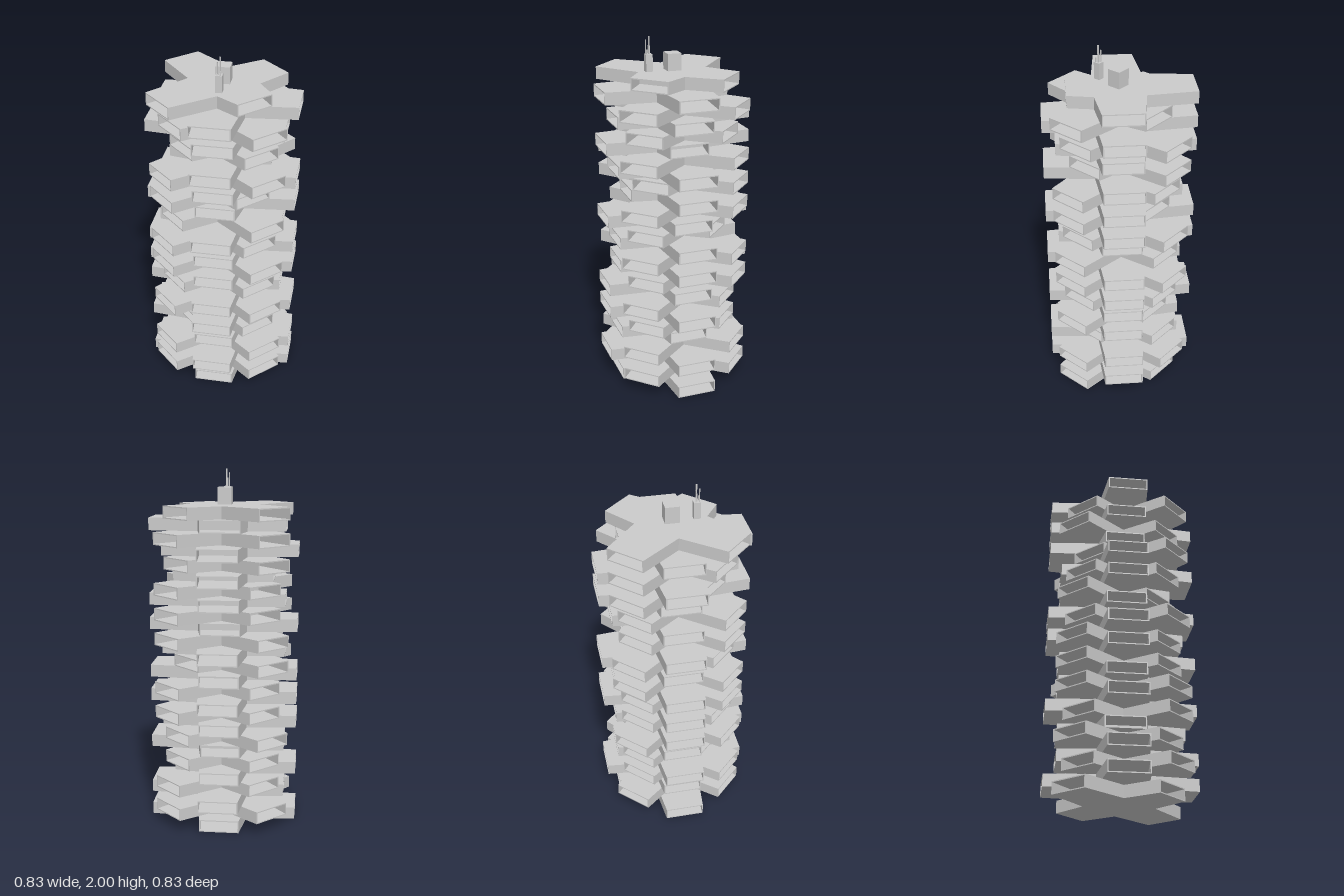
import * as THREE from 'three';

const FLOOR_H = 1.81 / 26;            // storey height
const NOTCH = 0.138;                  // inner corner between wings (along = across)
const END_HALF = 0.111;               // half width of a wing at its open end
const WALL = 0.006;                   // thickness of wing walls and slabs
const LENGTHS = [0.416, 0.348, 0.28]; // long, medium, short wings

// Wing lengths per storey from the ground up; even storeys lie on the axes
// (+x, +z, -x, -z), odd ones are turned by 45 degrees.
const FLOORS = [
  '0101', '0000', '0010', '0010', '2101', '1211', '0012', '0001', '1001',
  '1110', '0100', '0010', '0101', '1002', '1010', '0100', '0202', '2010',
  '0111', '0010', '2020', '1201', '1100', '0100', '0012', '2001',
];

const material = new THREE.MeshStandardMaterial({ color: 0xcccccc, flatShading: true });

function addMesh(parent, name, geometry, x = 0, y = 0, z = 0) {
  const mesh = new THREE.Mesh(geometry, material);
  mesh.name = name;
  mesh.position.set(x, y, z);
  parent.add(mesh);
  return mesh;
}

function rectangle(Type, w, y0, y1) {
  return new Type([[-w, y0], [w, y0], [w, y1], [-w, y1]].map(p => new THREE.Vector2(...p)));
}

// Hollow wing, open at its outer end and widening toward the core
function wingGeometry(length) {
  const shape = rectangle(THREE.Shape, END_HALF, 0, FLOOR_H);
  shape.holes.push(rectangle(THREE.Path, END_HALF - WALL, WALL, FLOOR_H - WALL));
  const geometry = new THREE.ExtrudeGeometry(shape, { depth: length - NOTCH, bevelEnabled: false });
  geometry.translate(0, 0, NOTCH);
  const p = geometry.attributes.position;
  for (let i = 0; i < p.count; i++) {
    if (p.getZ(i) < NOTCH + 0.001) p.setX(i, p.getX(i) * NOTCH / END_HALF);
  }
  geometry.computeVertexNormals();
  return geometry;
}

export function createModel() {
  const model = new THREE.Group();
  model.name = 'tower';
  const wings = LENGTHS.map(wingGeometry);
  const core = new THREE.BoxGeometry(2 * NOTCH, FLOOR_H, 2 * NOTCH);

  // Stacked storeys, each a square core with four wings
  FLOORS.forEach((code, level) => {
    const storey = new THREE.Group();
    storey.name = `storey${level + 1}`;
    storey.position.y = level * FLOOR_H;
    storey.rotation.y = level % 2 ? -Math.PI / 4 : 0;
    addMesh(storey, 'storeyCore', core, 0, FLOOR_H / 2, 0);
    [...code].forEach((size, i) => {
      const wing = addMesh(storey, 'wing', wings[size]);
      wing.rotation.y = (1 - i) * Math.PI / 2;
    });
    model.add(storey);
  });

  // Roof house and antenna mast
  const roof = FLOORS.length * FLOOR_H;
  addMesh(model, 'roofHouse', new THREE.BoxGeometry(0.078, 0.094, 0.078), 0, roof + 0.047, 0);
  addMesh(model, 'antennaBase', new THREE.BoxGeometry(0.037, 0.094, 0.037), 0, roof + 0.047, 0.137);
  const antennas = [
    [-0.01, 0.13, 0.004, 1.97], [-0.002, 0.137, 0.004, 1.95], [0.005, 0.135, 0.007, 2],
    [-0.009, 0.149, 0.005, 1.98], [0.009, 0.149, 0.006, 1.93],
  ];
  for (const [x, z, size, top] of antennas) {
    const h = top - roof - 0.08;
    addMesh(model, 'antenna', new THREE.BoxGeometry(size, h, size), x, top - h / 2, z);
  }
  return model;
}
